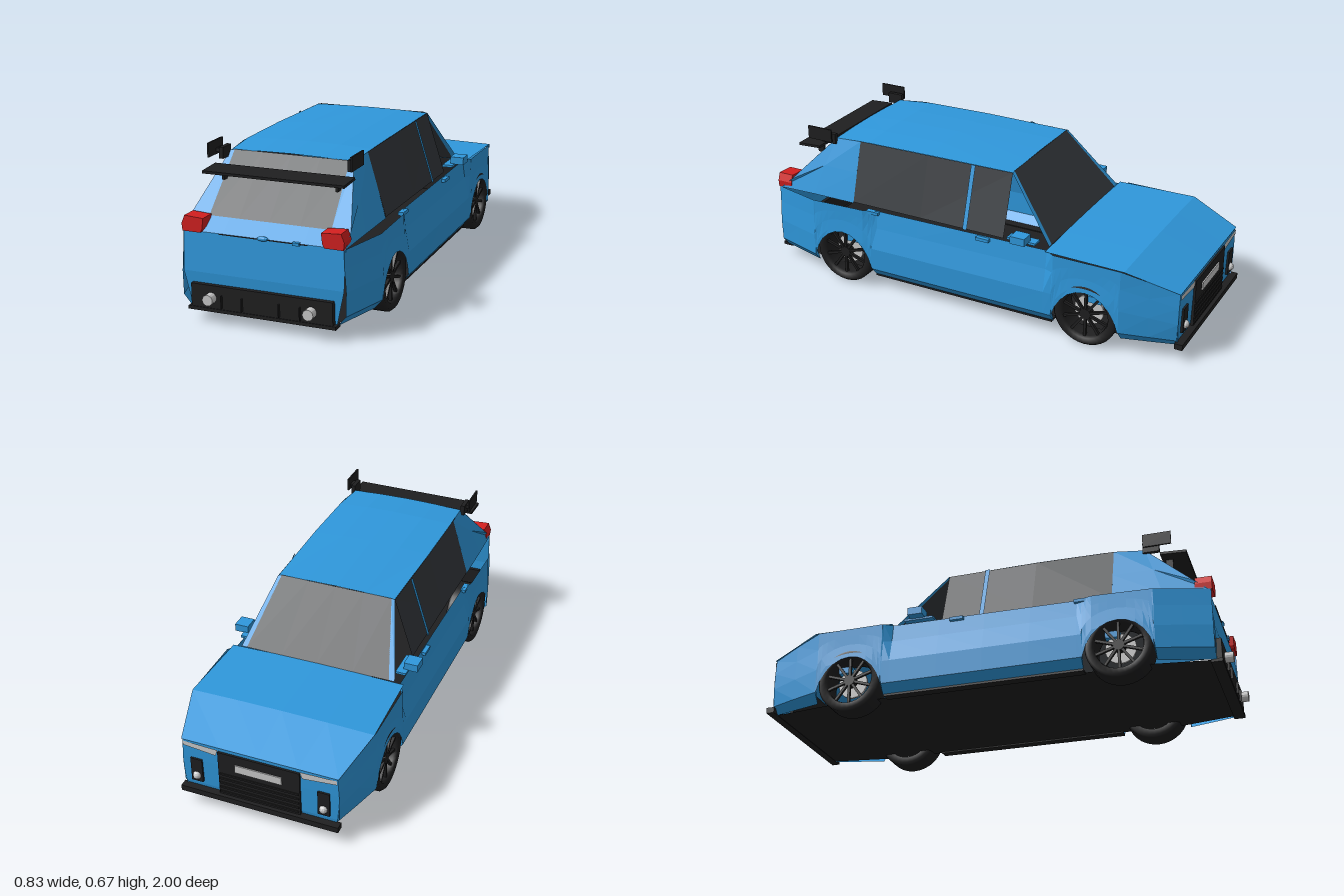
import * as THREE from 'three';

const mat = (color) => new THREE.MeshStandardMaterial({ color, side: THREE.DoubleSide, flatShading: true });
const BLUE = mat(0x2f98dc), GLASS = mat(0x34383c), BLACK = mat(0x1f1f20), RED = mat(0xd42020), GREY = mat(0xcccccc);

// Linear interpolation through [key, value] pairs
function at(table, t) {
  for (let i = 1; i < table.length; i++) {
    const [a, va] = table[i - 1], [b, vb] = table[i];
    if (t <= b) return va + (vb - va) * THREE.MathUtils.clamp((t - a) / (b - a), 0, 1);
  }
  return table[table.length - 1][1];
}

// Open surface through rows of [x, y, z] points
function loft(rows) {
  const n = rows[0].length, index = [];
  for (let i = 0; i < rows.length - 1; i++)
    for (let j = 0; j < n - 1; j++) {
      const a = i * n + j, b = a + n;
      index.push(a, b, a + 1, b, b + 1, a + 1);
    }
  const g = new THREE.BufferGeometry();
  g.setAttribute('position', new THREE.Float32BufferAttribute(rows.flat(2), 3));
  g.setIndex(index);
  g.computeVertexNormals();
  return g;
}

export function createModel() {
  const car = new THREE.Group();
  car.name = 'car';

  const add = (name, geo, material, parent = car) => {
    const m = new THREE.Mesh(geo, material);
    m.name = name;
    parent.add(m);
    return m;
  };
  // Box given by its limits on each axis
  const box = (name, material, [x0, x1], [y0, y1], [z0, z1], parent = car) => {
    const m = add(name, new THREE.BoxGeometry(x1 - x0, y1 - y0, z1 - z0), material, parent);
    m.position.set((x0 + x1) / 2, (y0 + y1) / 2, (z0 + z1) / 2);
    return m;
  };
  const span = (s, a, b) => (s > 0 ? [a, b] : [-b, -a]);
  // Symmetric surface across x from [halfWidth, y, z, crown] sections
  const across = (name, material, sections) =>
    add(name, loft(sections.map(([w, y, z, c = 0]) =>
      [-1, -0.5, 0, 0.5, 1].map((u) => [u * w, y + c * (1 - u * u), z]))), material);

  // Lower body sides with wheel arches
  const axles = [-0.595, 0.57], archR = 0.15;
  const plan = [[-0.975, 0.33], [-0.75, 0.395], [0.72, 0.4], [0.945, 0.338]];
  const topLine = [[-0.975, 0.305], [-0.76, 0.378], [-0.41, 0.38], [0.5, 0.372], [0.945, 0.36]];
  const lean = [[-0.45, 0], [-0.41, 0.028], [0.4, 0.028], [0.46, 0.004]];
  const bulge = [[0.06, -0.03], [0.1, 0.004], [0.22, 0.006], [0.3, 0]];
  const stations = [-0.975, -0.86, -0.41, -0.2, 0, 0.2, 0.4, 0.83, 0.945];
  for (const c of axles)
    for (let i = 0; i <= 12; i++) stations.push(c - archR * Math.cos((i / 12) * Math.PI));
  stations.sort((a, b) => a - b);
  const archY = (z) => Math.max(...axles.map((c) => 0.06 + 0.185 * Math.sqrt(Math.max(0, 1 - ((z - c) / archR) ** 2))));
  const sidePoint = (s, z, v) => {
    const lo = archY(z), hi = at(topLine, z), y = lo + (hi - lo) * v;
    const inward = at(lean, z) * THREE.MathUtils.clamp((y - 0.2) / 0.17, 0, 1);
    return [s * (at(plan, z) + at(bulge, y) - inward), y, z];
  };
  for (const s of [1, -1]) {
    add(s > 0 ? 'leftBodySide' : 'rightBodySide',
      loft(stations.map((z) => [0, 0.13, 0.45, 0.75, 1].map((v) => sidePoint(s, z, v)))), BLUE);
  }

  // Hood, roof, nose and tail panels
  across('hood', BLUE, [[0.385, 0.381, -0.41, 0.006], [0.395, 0.38, -0.76, 0.005], [0.335, 0.307, -0.978]]);
  across('nosePanel', BLUE, [[0.33, 0.305, -0.975], [0.336, 0.22, -0.975], [0.334, 0.1, -0.972], [0.3, 0.06, -0.965]]);
  across('roof', BLUE, [[0.262, 0.637, -0.2, 0.006], [0.27, 0.638, 0.2, 0.009], [0.27, 0.634, 0.5, 0.009], [0.262, 0.622, 0.67, 0.008]]);
  across('tailPanel', BLUE, [[0.335, 0.41, 0.875], [0.338, 0.36, 0.935], [0.336, 0.2, 0.948], [0.305, 0.06, 0.94]]);
  across('floor', BLACK, [[0.3, 0.062, -0.965], [0.34, 0.06, -0.7], [0.34, 0.06, 0.7], [0.3, 0.062, 0.94]]);

  // Windscreen and rear window with their frames
  across('windscreen', GLASS, [[0.322, 0.385, -0.41], [0.248, 0.641, -0.2]]);
  across('rearWindow', GLASS, [[0.246, 0.626, 0.668], [0.256, 0.408, 0.877]]);

  for (const s of [1, -1]) {
    const side = new THREE.Group();
    side.name = s > 0 ? 'leftSide' : 'rightSide';
    car.add(side);
    const strip = (name, m, rows) =>
      add(name, loft(rows.map((r) => r.map(([x, y, z]) => [s * x, y, z]))), m, side);

    strip('windscreenPillar', BLUE, [[[0.32, 0.385, -0.41], [0.346, 0.385, -0.41]], [[0.247, 0.641, -0.2], [0.264, 0.637, -0.2]]]);
    strip('rearWindowFrame', BLUE, [[[0.245, 0.626, 0.668], [0.264, 0.622, 0.67]], [[0.255, 0.408, 0.877], [0.335, 0.41, 0.877]]]);
    strip('sideWindow', GLASS, [[[0.347, 0.375, -0.2], [0.263, 0.637, -0.2]], [[0.347, 0.375, 0.2], [0.27, 0.637, 0.2]], [[0.347, 0.375, 0.54], [0.27, 0.633, 0.54]]]);
    strip('doorPillar', BLUE, [[[0.355, 0.375, -0.03], [0.272, 0.639, -0.03]], [[0.355, 0.375, -0.01], [0.272, 0.639, -0.01]]]);
    strip('rearPillar', BLUE, [
      [[0.347, 0.37, 0.54], [0.31, 0.5, 0.54], [0.27, 0.633, 0.54]],
      [[0.345, 0.368, 0.75], [0.307, 0.5, 0.71], [0.262, 0.622, 0.67]],
      [[0.338, 0.36, 0.935], [0.335, 0.41, 0.877], [0.262, 0.622, 0.67]],
    ]);

    // Mirror, handles and sill
    box('mirror', BLUE, span(s, 0.355, 0.415), [0.397, 0.43], [-0.33, -0.265], side);
    box('mirrorArm', BLUE, span(s, 0.33, 0.375), [0.39, 0.4], [-0.36, -0.23], side);
    for (const z of [0.42, -0.12])
      box('doorHandle', BLUE, span(s, 0.365, 0.388), [0.358, 0.372], [z - 0.03, z + 0.03], side);
    box('sill', BLACK, span(s, 0.33, 0.372), [0.055, 0.064], [-0.44, 0.42], side);

    // Tail lamp, wrapped round the corner
    const lamp = new THREE.Shape([[0.25, 0.375], [0.258, 0.36], [0.335, 0.36], [0.338, 0.39], [0.325, 0.423], [0.245, 0.418]]
      .map(([x, y]) => new THREE.Vector2(s * x, y)));
    add('tailLamp', new THREE.ExtrudeGeometry(lamp, { depth: 0.07, bevelEnabled: false }), RED, side).position.z = 0.88;

    // Exhaust pipe
    const pipe = add('exhaust', new THREE.CylinderGeometry(0.022, 0.022, 0.06, 16), GREY, side);
    pipe.rotation.x = Math.PI / 2;
    pipe.position.set(s * 0.21, 0.107, 0.97);

    // Rear wing plates
    box('wingMount', BLACK, span(s, 0.264, 0.282), [0.6, 0.646], [0.665, 0.735], side);
    box('wingEndPlate', BLACK, span(s, 0.297, 0.304), [0.615, 0.673], [0.67, 0.79], side);
    box('wingLink', BLACK, span(s, 0.275, 0.3), [0.625, 0.64], [0.69, 0.73], side);
    box('wingStay', BLACK, span(s, 0.235, 0.245), [0.53, 0.57], [0.755, 0.785], side);

    // Headlamp and fog lamp
    strip('headlamp', GREY, [[[0.175, 0.298, -0.981], [0.33, 0.3, -0.979]], [[0.185, 0.268, -0.981], [0.328, 0.28, -0.979]]]);
    box('fogPanel', BLACK, span(s, 0.248, 0.298), [0.115, 0.225], [-0.983, -0.965], side);
    const fog = add('fogLamp', new THREE.SphereGeometry(0.018, 12, 8), GREY, side);
    fog.position.set(s * 0.273, 0.145, -0.982);
  }

  // Grille, number plate and splitter
  box('grille', BLACK, [-0.175, 0.175], [0.075, 0.29], [-0.984, -0.96]);
  for (let i = 0; i < 5; i++)
    box('grilleSlat', BLACK, [-0.17, 0.17], [0.095 + i * 0.022, 0.103 + i * 0.022], [-0.988, -0.98]);
  box('frontPlate', GREY, [-0.1, 0.1], [0.215, 0.25], [-0.989, -0.98]);
  box('splitter', BLACK, [-0.34, 0.34], [0.06, 0.085], [-1, -0.965]);

  // Rear bumper, tailgate handle and wing
  box('rearBumper', BLACK, [-0.297, 0.297], [0.06, 0.157], [0.93, 0.965]);
  box('rearLip', BLACK, [-0.31, 0.31], [0.05, 0.064], [0.92, 0.968]);
  for (const x of [-0.165, -0.078, 0.078, 0.165])
    box('bumperRib', BLACK, [x - 0.002, x + 0.002], [0.07, 0.122], [0.96, 0.975]);
  box('tailgateSeam', BLACK, [-0.185, 0.185], [0.357, 0.36], [0.93, 0.939]);
  const badge = add('tailgateHandle', new THREE.SphereGeometry(0.024, 12, 8), BLUE);
  badge.scale.set(1, 0.4, 0.4);
  badge.position.set(0, 0.362, 0.937);
  box('tailgateLatch', BLUE, [0.125, 0.153], [0.353, 0.365], [0.93, 0.945]);
  const wing = box('rearWing', BLACK, [-0.297, 0.297], [0.569, 0.58], [0.74, 0.85]);
  wing.rotation.x = 0.05;

  // Wheels: open barrel tyre, spokes, hub, disc and caliper
  const tyre = [[0.104, -0.055], [0.13, -0.057], [0.14, -0.045], [0.14, 0.045], [0.13, 0.057], [0.106, 0.055], [0.1, 0.04], [0.1, -0.04], [0.104, -0.055]]
    .map(([r, y]) => new THREE.Vector2(r, y));
  const tyreMat = BLACK.clone();
  tyreMat.flatShading = false;
  for (const z of axles)
    for (const s of [1, -1]) {
      const wheel = new THREE.Group();
      wheel.name = (z < 0 ? 'front' : 'rear') + (s > 0 ? 'Left' : 'Right') + 'Wheel';
      wheel.position.set(s * 0.342, 0.142, z);
      wheel.rotation.z = -s * Math.PI / 2;
      car.add(wheel);
      add('tyre', new THREE.LatheGeometry(tyre, 32), tyreMat, wheel);
      for (let i = 0; i < 10; i++) {
        const a = (i / 10) * Math.PI * 2;
        const spoke = add('spoke', new THREE.BoxGeometry(0.085, 0.012, 0.011), BLACK, wheel);
        spoke.position.set(Math.cos(a) * 0.06, 0.038, -Math.sin(a) * 0.06);
        spoke.rotation.y = a;
      }
      add('hub', new THREE.CylinderGeometry(0.024, 0.026, 0.03, 12), BLACK, wheel).position.y = 0.03;
      add('brakeDisc', new THREE.CylinderGeometry(0.065, 0.065, 0.01, 20), GREY, wheel);
      const caliper = add('caliper', new THREE.BoxGeometry(0.028, 0.03, 0.06), BLUE, wheel);
      caliper.position.set(-s * 0.06, 0.008, -0.03);
    }

  return car;
}
